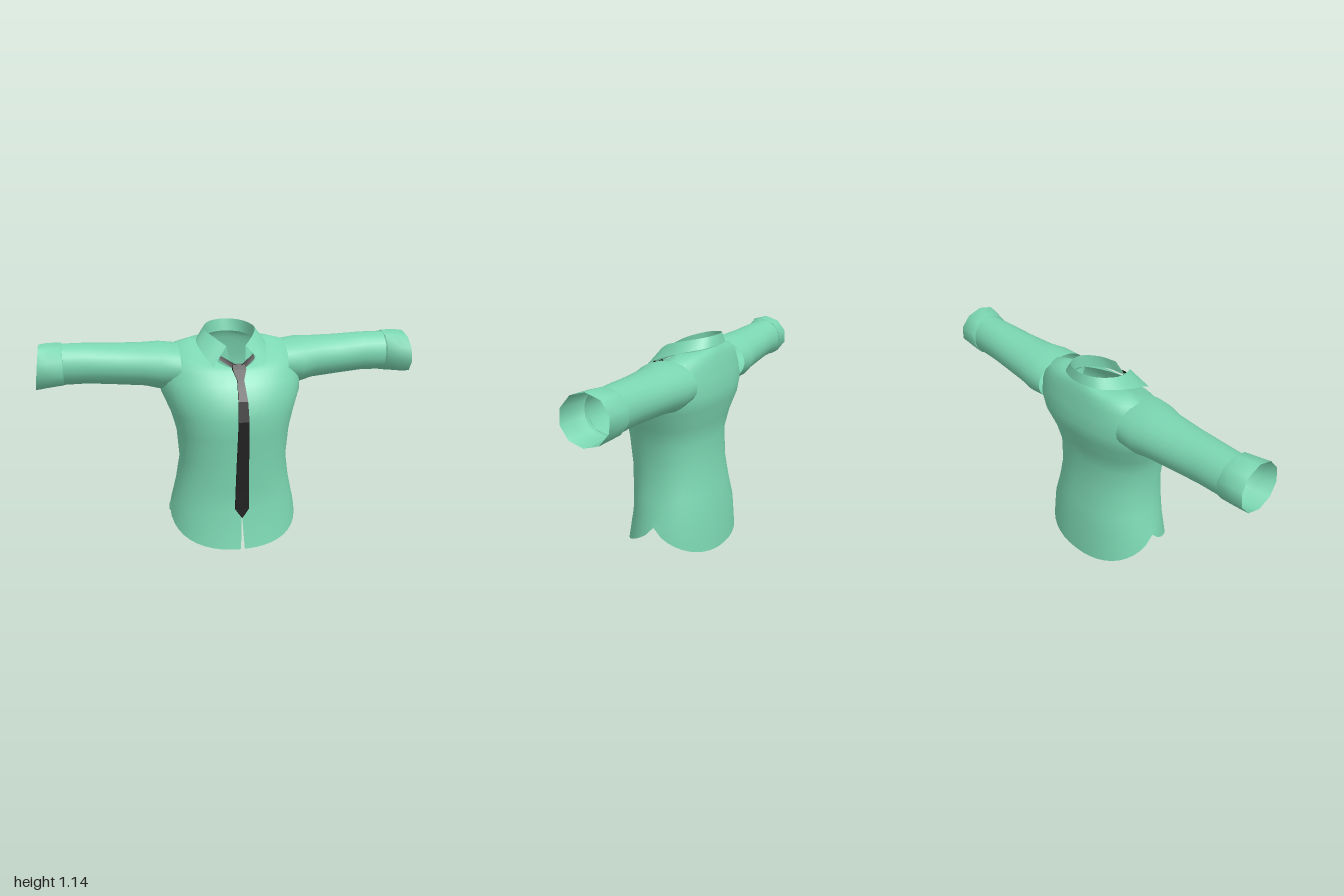
import * as THREE from 'three';
import { mergeVertices } from 'three/addons/utils/BufferGeometryUtils.js';

const cloth = new THREE.MeshStandardMaterial({ color: 0x7bd6b2, side: THREE.DoubleSide });
cloth.name = 'mint cloth';
const black = new THREE.MeshStandardMaterial({ color: 0x222222, side: THREE.DoubleSide });
black.name = 'black cloth';

// Skin a grid of points: rows of equal length, each point [x, y, z]
function loft(rows, flat = false) {
  const n = rows[0].length;
  const index = [];
  for (let i = 0; i < rows.length - 1; i++) {
    for (let j = 0; j < n - 1; j++) {
      const a = i * n + j, b = a + 1, c = a + n, d = c + 1;
      index.push(a, b, d, a, d, c);
    }
  }
  let g = new THREE.BufferGeometry();
  g.setAttribute('position', new THREE.Float32BufferAttribute(rows.flat(2), 3));
  g.setIndex(index);
  g = flat ? g.toNonIndexed() : mergeVertices(g, 1e-5);
  g.computeVertexNormals();
  return g;
}

// Smooth curve mirrored across x = 0: left front, round the back, right front
function mirroredCurve(half, count = 36) {
  const pts = [
    ...half.map(([x, y, z]) => new THREE.Vector3(-x, y, z)),
    ...half.slice(0, -1).reverse().map((p) => new THREE.Vector3(...p)),
  ];
  return new THREE.CatmullRomCurve3(pts, false, 'centripetal')
    .getPoints(count).map((p) => p.toArray());
}

// Torso rings: half width, side y, front y, back y, side z, front z, back z
const TORSO = [
  [0.345, 0.18, 0.0, 0.01, -0.02, 0.255, -0.27],
  [0.332, 0.205, 0.2, 0.2, -0.02, 0.222, -0.257],
  [0.305, 0.32, 0.32, 0.32, -0.01, 0.228, -0.235],
  [0.285, 0.45, 0.45, 0.45, 0.0, 0.236, -0.215],
  [0.298, 0.6, 0.6, 0.6, 0.0, 0.25, -0.203],
  [0.325, 0.7, 0.7, 0.7, -0.02, 0.262, -0.222],
  [0.368, 0.8, 0.8, 0.8, -0.06, 0.24, -0.252],
  [0.374, 0.87, 0.87, 0.87, -0.08, 0.2, -0.26],
  [0.362, 0.94, 0.91, 0.94, -0.09, 0.168, -0.248],
  [0.34, 1.0, 0.925, 1.0, -0.09, 0.155, -0.235],
  [0.29, 1.046, 0.935, 1.04, -0.09, 0.145, -0.225],
  [0.21, 1.065, 0.94, 1.065, -0.08, 0.14, -0.215],
  [0.135, 1.055, 0.945, 1.08, -0.08, 0.133, -0.205],
];

function torsoRows() {
  const N = 44;
  return TORSO.map(([w, yS, yF, yB, zS, zF, zB], i) => {
    const row = [];
    for (let j = 0; j <= N; j++) {
      const a = (j / N) * Math.PI * 2;
      const s = Math.sin(a), c = Math.cos(a), front = c > 0;
      const k = Math.abs(c) < 1e-6 ? 0 : Math.pow(Math.abs(c), 0.9);
      let x = Math.abs(s) < 1e-6 ? 0 : w * Math.sign(s) * Math.pow(Math.abs(s), 0.9);
      // front placket falls open at the hem
      if (i === 0 && (j === 0 || j === N)) x = j === 0 ? 0.01 : -0.01;
      const t = i === 0 ? Math.pow(k, 0.7) : k;
      row.push([x, yS + ((front ? yF : yB) - yS) * t, zS + ((front ? zF : zB) - zS) * k]);
    }
    return row;
  });
}

// Sleeve-like tube. Rings: x, bottom y, top y, back z, front z, slant of x
function armTube(rings, side, sides) {
  return loft(rings.map(([x, y0, y1, z0, z1, slant = 0]) => {
    const row = [];
    for (let j = 0; j <= sides; j++) {
      const a = side * (j % sides) / sides * Math.PI * 2;
      const c = Math.cos(a), s = Math.sin(a);
      row.push([
        side * (x - slant * (c + 1) / 2),
        (y0 + y1) / 2 + c * (y1 - y0) / 2,
        (z0 + z1) / 2 + s * (z1 - z0) / 2,
      ]);
    }
    return row;
  }));
}

const SLEEVE = [
  [0.28, 0.82, 1.047, -0.235, 0.085],
  [0.37, 0.812, 1.057, -0.238, 0.07],
  [0.45, 0.83, 1.053, -0.23, 0.042],
  [0.6, 0.842, 1.054, -0.22, 0.02],
  [0.74, 0.852, 1.06, -0.212, 0.003],
  [0.88, 0.85, 1.06, -0.205, -0.005],
];
const CUFF = [
  [0.86, 0.853, 1.06, -0.205, -0.002],
  [0.862, 0.845, 1.068, -0.218, 0.012],
  [0.93, 0.84, 1.07, -0.214, 0.03],
  [1.0, 0.834, 1.066, -0.205, 0.05, 0.027],
];

// Collar edges: fold line, outer edge with points, and neck seam
const FOLD = mirroredCurve([[0.05, 1.05, 0.085], [0.1, 1.085, 0.02], [0.135, 1.115, -0.08], [0.09, 1.135, -0.18], [0, 1.142, -0.215]]);
const EDGE = mirroredCurve([[0.13, 0.955, 0.145], [0.165, 1.01, 0.06], [0.18, 1.055, -0.06], [0.115, 1.085, -0.19], [0, 1.09, -0.225]]);
const SEAM = mirroredCurve([[0.035, 0.95, 0.14], [0.09, 1.0, 0.065], [0.133, 1.05, -0.08], [0.09, 1.07, -0.18], [0, 1.078, -0.203]]);

// Strip of rectangular section. Rows: y, half width, front z
const strip = (rows, thick) => loft(rows.map(([y, w, z]) => [
  [-w, y, z], [w, y, z], [w, y, z - thick], [-w, y, z - thick], [-w, y, z],
]), true);

const TIE = [
  [0.17, 0.002, 0.236], [0.22, 0.037, 0.235], [0.32, 0.035, 0.24], [0.45, 0.032, 0.248],
  [0.6, 0.029, 0.263], [0.7, 0.027, 0.273], [0.8, 0.024, 0.251], [0.87, 0.019, 0.211], [0.92, 0.016, 0.172],
];
const KNOT = [[0.895, 0.017, 0.192], [0.945, 0.034, 0.168], [0.965, 0.03, 0.15]];

export function createModel() {
  const model = new THREE.Group();
  model.name = 'shirtWithTie';
  const add = (name, geometry, material) => {
    const mesh = new THREE.Mesh(geometry, material);
    mesh.name = name;
    model.add(mesh);
  };

  add('torso', loft(torsoRows()), cloth);
  add('collarStand', loft([FOLD, SEAM]), cloth);
  add('collarFold', loft([FOLD, EDGE]), cloth);

  for (const side of [1, -1]) {
    const label = side > 0 ? 'left' : 'right';
    add(label + 'Sleeve', armTube(SLEEVE, side, 24), cloth);
    add(label + 'Cuff', armTube(CUFF, side, 10), cloth);
    // band of the tie running up under the collar
    add(label + 'TieBand', loft([
      [[side * 0.01, 0.935, 0.165], [side * 0.09, 0.985, 0.112]],
      [[side * 0.01, 0.965, 0.152], [side * 0.09, 1.008, 0.092]],
    ]), black);
  }

  add('tieBlade', strip(TIE, 0.009), black);
  add('tieKnot', strip(KNOT, 0.03), black);
  return model;
}
